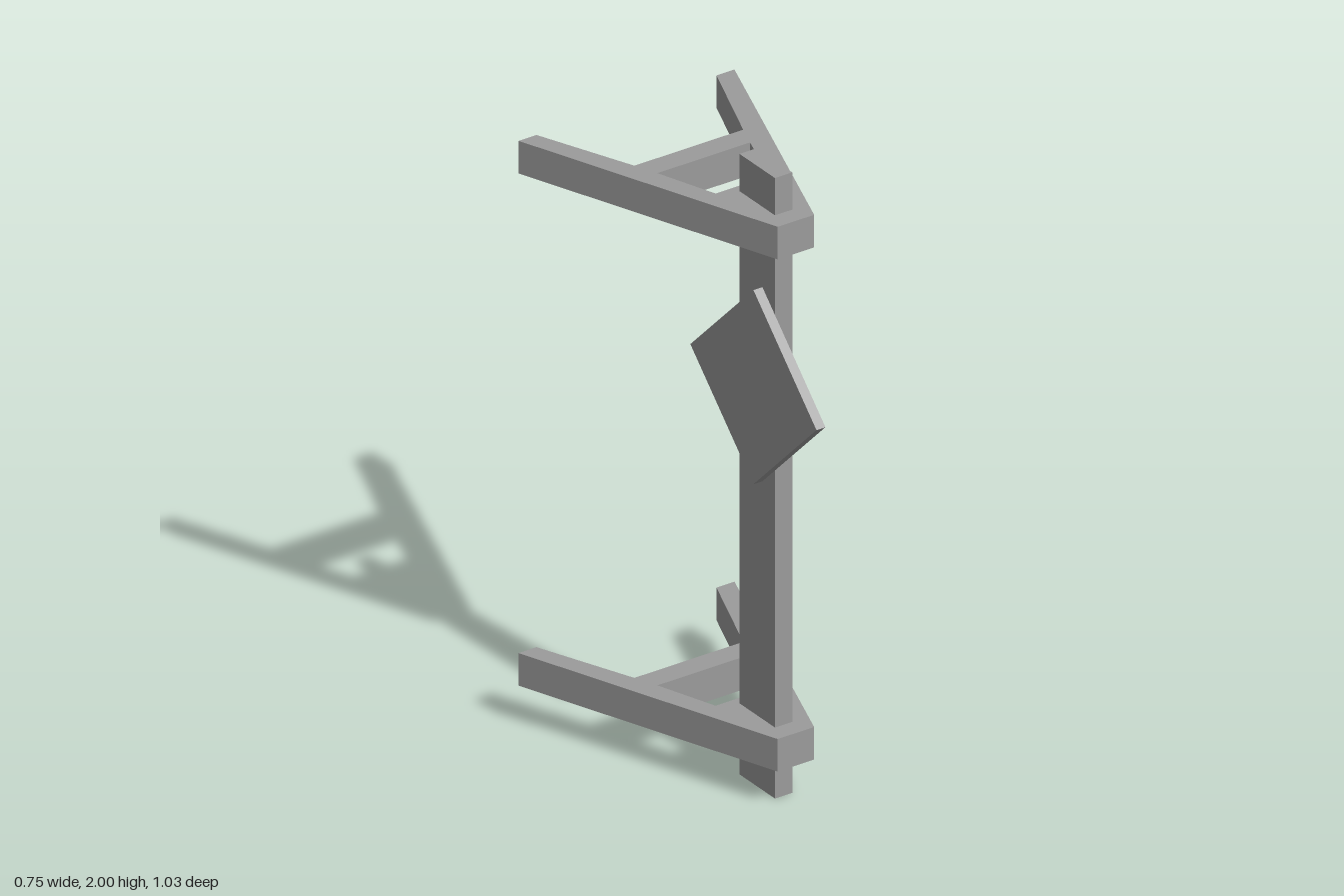
import * as THREE from 'three';

const material = new THREE.MeshStandardMaterial({ color: 0x9b9b9b, flatShading: true });

// Points are [x, z] in plan; shape y is -z so the extrusion can be laid flat.
const toPlan = (points) => points.map(([x, z]) => new THREE.Vector2(x, -z));

function addBox(group, name, size, position) {
  const mesh = new THREE.Mesh(new THREE.BoxGeometry(...size), material);
  mesh.name = name;
  mesh.position.set(...position);
  group.add(mesh);
  return mesh;
}

// A-shaped bracket: solid nose, two splayed arms and a crossbar
function bracketGeometry(height) {
  const half = [[0.063, 0.325], [0.373, -0.516], [0.311, -0.516], [0.188, -0.207]];
  const mirrored = half.map(([x, z]) => [-x, z]).reverse();
  const shape = new THREE.Shape(toPlan([...half, ...mirrored]));
  shape.holes.push(new THREE.Path(toPlan([
    [-0.16, -0.133], [0.16, -0.133], [0.094, 0.061], [-0.094, 0.061],
  ])));
  const geometry = new THREE.ExtrudeGeometry(shape, { depth: height, bevelEnabled: false });
  return geometry.rotateX(-Math.PI / 2);
}

export function createModel() {
  const model = new THREE.Group();
  model.name = 'bracketedPost';

  // Upright post
  addBox(model, 'post', [0.06, 2, 0.176], [0, 1, 0.176]);

  // Square plate standing on its corner against the post's right side
  const side = 0.626 / Math.SQRT2;
  const plate = addBox(model, 'diamondPlate', [0.031, side, side], [-0.0465, 1.309, 0.203]);
  plate.rotation.x = Math.PI / 4;

  // Matching brackets near both ends of the post
  const geometry = bracketGeometry(0.105);
  for (const [name, y] of [['lowerBracket', 0.124], ['upperBracket', 1.775]]) {
    const bracket = new THREE.Mesh(geometry, material);
    bracket.name = name;
    bracket.position.y = y;
    model.add(bracket);
  }
  return model;
}
